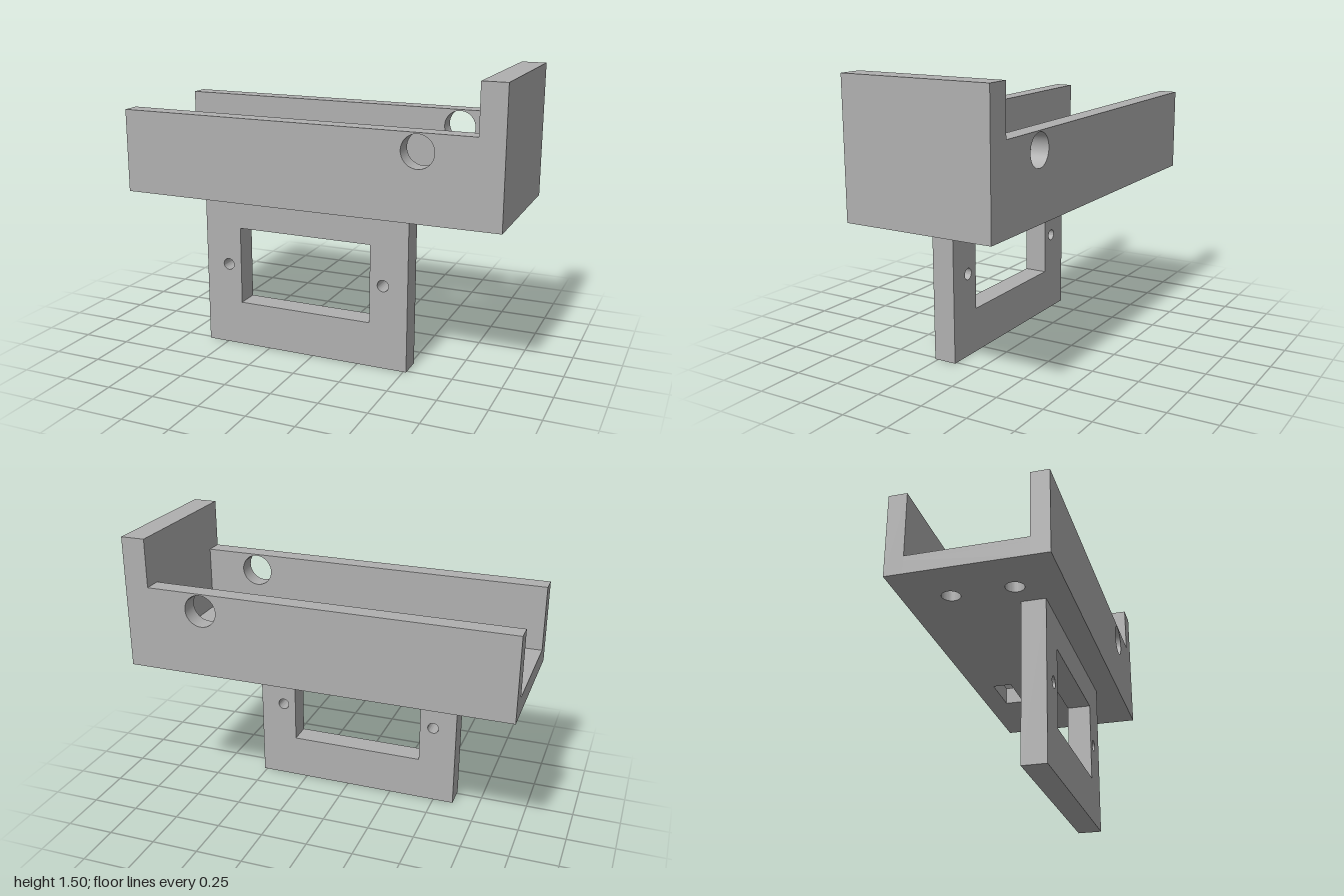
import * as THREE from 'three';
import { toCreasedNormals } from 'three/addons/utils/BufferGeometryUtils.js';

const grey = new THREE.MeshStandardMaterial({ color: 0xb0b0b0 });
grey.name = 'grey plastic';

const BASE = 0.815, RIM = 1.25, TOP = 1.5;   // heights of the tray
const HALF = 0.39, WALL = 0.094;             // half depth and wall thickness
const END = 0.875;                           // inner face of the end wall

function rectPoints(x0, y0, x1, y1) {
  return [[x0, y0], [x1, y0], [x1, y1], [x0, y1]].map(([x, y]) => new THREE.Vector2(x, y));
}
const rectHole = (...r) => new THREE.Path(rectPoints(...r));
const roundHole = (x, y, r) => new THREE.Path().absarc(x, y, r, 0, Math.PI * 2, true);

// Rectangular slab with holes, extruded along +z
function slab(rect, holes, depth) {
  const shape = new THREE.Shape(rectPoints(...rect));
  shape.holes.push(...holes);
  const geometry = new THREE.ExtrudeGeometry(shape, { depth, bevelEnabled: false, curveSegments: 24 });
  return toCreasedNormals(geometry, 0.5);
}

export function createModel() {
  const model = new THREE.Group();
  model.name = 'servoTray';
  const add = (name, geometry) => {
    const mesh = new THREE.Mesh(geometry, grey);
    mesh.name = name;
    model.add(mesh);
  };

  // Long side walls, each with a round cross hole
  for (const [name, z] of [['frontWall', HALF - WALL], ['backWall', -HALF]]) {
    add(name, slab([-1, BASE, END, RIM], [roundHole(0.59, 1.16, 0.083)], WALL).translate(0, 0, z));
  }

  // Tall end wall
  add('endWall', new THREE.BoxGeometry(1 - END, TOP - BASE, HALF * 2)
    .translate((1 + END) / 2, (TOP + BASE) / 2, 0));

  // Floor in two layers: the slot goes through both, the round sockets only through the lower
  const inner = HALF - WALL, socketDepth = 0.07;
  const floorRect = [-1, -inner, END, inner];
  const slot = () => rectHole(0.29, -0.275, 0.54, -0.175);
  const sockets = [];
  for (const x of [-0.75, 0.75]) for (const z of [-0.155, 0.155]) sockets.push(roundHole(x, z, 0.046));
  add('floorUnderside', slab(floorRect, [slot(), ...sockets], socketDepth)
    .rotateX(Math.PI / 2).translate(0, BASE + socketDepth, 0));
  add('floorTop', slab(floorRect, [slot()], WALL - socketDepth)
    .rotateX(Math.PI / 2).translate(0, BASE + WALL, 0));

  // Hanging mounting plate with a window and two screw holes
  add('mountingPlate', slab([-0.61, 0, 0.515, BASE], [
    rectHole(-0.41, 0.235, 0.315, 0.645),
    roundHole(-0.483, 0.44, 0.03),
    roundHole(0.385, 0.44, 0.03),
  ], 0.122).translate(0, 0, 0.144));

  return model;
}
